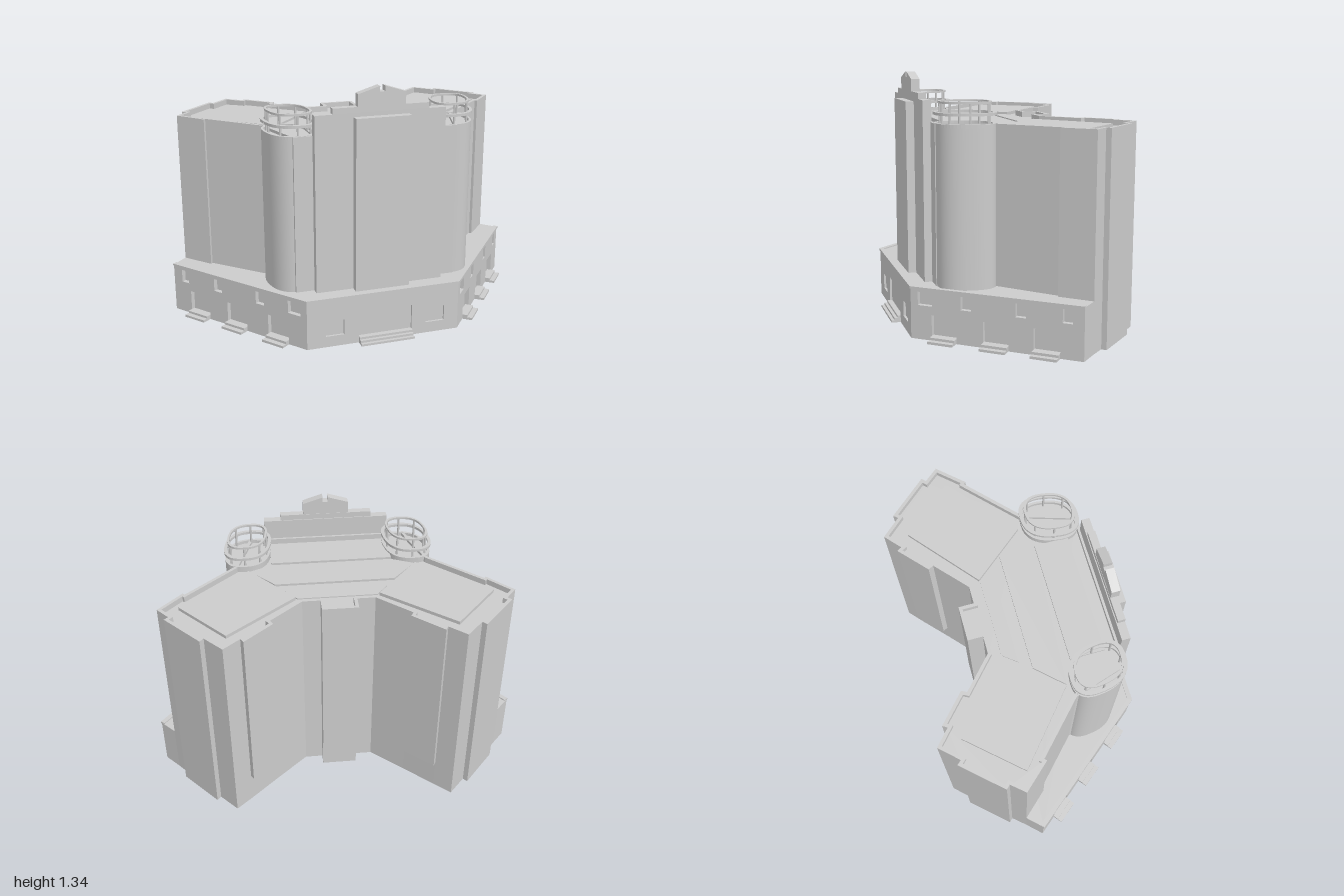
import * as THREE from 'three';

const mat = new THREE.MeshStandardMaterial({ color: 0xcccccc, side: THREE.DoubleSide });

function add(parent, name, geo, x = 0, y = 0, z = 0) {
  const m = new THREE.Mesh(geo, mat);
  m.name = name;
  m.position.set(x, y, z);
  parent.add(m);
  return m;
}
const box = (parent, name, x0, x1, y0, y1, z0, z1) =>
  add(parent, name, new THREE.BoxGeometry(x1 - x0, y1 - y0, z1 - z0), (x0 + x1) / 2, (y0 + y1) / 2, (z0 + z1) / 2);

// plan points are [x, z]; a prism rises from y0 to y1
const v2 = (pts) => pts.map(([x, z]) => new THREE.Vector2(x, -z));
function prism(parent, name, pts, y0, y1, hole) {
  const s = new THREE.Shape(v2(pts));
  if (hole) s.holes.push(new THREE.Path(v2(hole)));
  const g = new THREE.ExtrudeGeometry(s, { depth: y1 - y0, bevelEnabled: false });
  return add(parent, name, g.rotateX(-Math.PI / 2), 0, y0, 0);
}
const flip = (pts) => pts.map(([x, z]) => [-x, z]).reverse();
const both = (pts) => [...pts, ...flip(pts)];

// mitred offset of a path; positive d moves inwards for outlines starting at the front and running over +x
function inset(pts, d, closed = true) {
  const n = pts.length;
  const normal = (a, b) => {
    const l = Math.hypot(b[0] - a[0], b[1] - a[1]);
    return [(b[1] - a[1]) / l, -(b[0] - a[0]) / l];
  };
  return pts.map((p, i) => {
    const prev = closed || i > 0 ? pts[(i + n - 1) % n] : null;
    const next = closed || i < n - 1 ? pts[(i + 1) % n] : null;
    const a = prev ? normal(prev, p) : normal(p, next);
    const b = next ? normal(p, next) : a;
    const k = d / (1 + a[0] * b[0] + a[1] * b[1]);
    return [p[0] + (a[0] + b[0]) * k, p[1] + (a[1] + b[1]) * k];
  });
}

// wall with rectangular recesses [x0, x1, y0, y1]; local +z faces outwards
function wall(parent, name, len, height, holes, depth) {
  const rect = (T, x0, x1, y0, y1) => new T([[x0, y0], [x1, y0], [x1, y1], [x0, y1]].map((p) => new THREE.Vector2(...p)));
  const s = rect(THREE.Shape, 0, len, 0, height);
  for (const h of holes) {
    s.holes.push(rect(THREE.Path, ...h));
    box(parent, name + 'Recess', ...h, -depth - 0.004, -depth);
  }
  add(parent, name, new THREE.ExtrudeGeometry(s, { depth, bevelEnabled: false }), 0, 0, -depth);
}

function steps(parent, x0, x1, count, height, reach) {
  for (let i = 0; i < count; i++)
    box(parent, 'entranceStep', x0, x1, height * i / count, height * (i + 1) / count, -0.02, reach * (count - i) / count);
}

// rounded, slightly skewed plan of the corner turrets
function turretPlan(scale, n = 48) {
  const e = 0.8, pts = [];
  for (let i = 0; i < n; i++) {
    const t = i / n * Math.PI * 2, c = Math.cos(t), s = Math.sin(t);
    const z = Math.sign(s) * Math.abs(s) ** e * 0.148;
    pts.push([scale * (Math.sign(c) * Math.abs(c) ** e * 0.122 - z * 0.16), scale * z]);
  }
  return pts;
}

export function createModel() {
  const model = new THREE.Group();
  model.name = 'building';

  // half plans of the V-shaped tower
  const front = [[0.44, 0.42], [0.53, 0.13], [0.79, -0.115], [0.80, -0.103]];
  const wingEnd = [[0.925, -0.24], [0.865, -0.31], [0.885, -0.33], [0.705, -0.53], [0.685, -0.508], [0.595, -0.605]];
  const bump = [[0.495, -0.555], [0.345, -0.42]];
  const inner = (withBump) => [[0.51, -0.53], ...(withBump ? bump : []), [0.36, -0.392], [0.19, -0.24], [0.095, -0.24]];
  const tower = both([...front, ...wingEnd, ...inner(true), [0.095, -0.322]]);

  // tower, parapet
  prism(model, 'tower', tower, 0.262, 1.07);
  prism(model, 'parapet', tower, 1.07, 1.1, inset(tower, 0.018));

  // rear ground-floor walls, recessed at the service entrances
  const strip = (name, half, y0, y1) => {
    const path = both([[1, -0.16], ...wingEnd, ...half]);
    prism(model, name, [...path, ...inset(path, 0.018, false).reverse()], y0, y1);
  };
  strip('rearWallUpper', [...inner(true), [0.095, -0.322]], 0.17, 0.265);
  strip('rearWallLower', [...inner(false), [0.095, -0.3]], 0, 0.17);

  // podium roof and cornice
  const podium = both([[0.42, 0.55], [1, -0.16], [0.925, -0.24], [0.19, -0.1]]);
  prism(model, 'podiumRoof', podium, 0.262, 0.27);
  const edge = both([[0.42, 0.55], [1, -0.16]]);
  const rim = [...edge.slice(2), ...edge.slice(0, 2)];
  prism(model, 'podiumCornice', [...inset(rim, -0.006, false), ...inset(rim, 0.02, false).reverse()], 0.264, 0.276);

  // podium front
  const facade = new THREE.Group();
  facade.name = 'podiumFront';
  facade.position.set(-0.42, 0, 0.55);
  model.add(facade);
  wall(facade, 'podiumFrontWall', 0.84, 0.265,
    [[0.10, 0.20, 0.06, 0.145], [0.655, 0.76, 0.06, 0.145], [0.28, 0.575, 0.025, 0.172]], 0.012);
  steps(facade, 0.28, 0.575, 3, 0.036, 0.05);

  // podium sides with doors, steps and high windows
  for (const side of [1, -1]) {
    const mirror = new THREE.Group();
    mirror.name = side > 0 ? 'leftPodiumSide' : 'rightPodiumSide';
    mirror.scale.x = side;
    const g = new THREE.Group();
    g.position.set(0.42, 0, 0.55);
    g.rotation.y = Math.atan2(0.71, 0.58);
    mirror.add(g);
    model.add(mirror);
    const doors = [0.185, 0.465, 0.73];
    const windows = [[0.08, 0.08], [0.305, 0.055], [0.595, 0.055], [0.833, 0.05]];
    wall(g, 'podiumSideWall', 0.917, 0.265, [
      ...doors.map((c) => [c - 0.068, c + 0.068, 0.015, 0.135]),
      ...windows.map(([c, w]) => [c - w / 2, c + w / 2, 0.18, 0.25]),
    ], 0.025);
    for (const c of doors) steps(g, c - 0.068, c + 0.068, 2, 0.026, 0.055);
  }

  // stepped gable front
  const gable = new THREE.Group();
  gable.name = 'gableFront';
  gable.position.x = 0.006;
  model.add(gable);
  box(gable, 'facadePanel', -0.348, 0.348, 0.265, 1.21, 0.415, 0.46);
  box(gable, 'centrePanel', -0.147, 0.147, 0.265, 1.19, 0.455, 0.503);
  box(gable, 'gableStep', -0.255, 0.255, 1.21, 1.24, 0.42, 0.46);
  const crown = new THREE.Shape([[-0.126, 1.24], [0.126, 1.24], [0.126, 1.305], [0.016, 1.34], [0.016, 1.312],
    [-0.012, 1.312], [-0.012, 1.34], [-0.126, 1.305]].map((p) => new THREE.Vector2(...p)));
  add(gable, 'gableCrown', new THREE.ExtrudeGeometry(crown, { depth: 0.046, bevelEnabled: false }), 0, 0, 0.422);

  // corner turrets with ring railings
  for (const side of [1, -1]) {
    const t = new THREE.Group();
    t.name = side > 0 ? 'leftTurret' : 'rightTurret';
    t.position.set(0.012 + side * 0.44, 0, 0.268);
    t.scale.x = side;
    model.add(t);
    const plan = turretPlan(1);
    const body = prism(t, 'turretBody', plan, 0.265, 1.085);
    body.geometry = smoothSides(body.geometry);
    prism(t, 'turretRim', plan, 1.085, 1.102, turretPlan(0.9));
    prism(t, 'lowerRail', turretPlan(1.03), 1.143, 1.157, turretPlan(0.9));
    prism(t, 'upperRail', turretPlan(0.87), 1.2, 1.211, turretPlan(0.78));
    const posts = turretPlan(0.84, 8);
    for (const [x, z] of posts) add(t, 'railPost', new THREE.CylinderGeometry(0.006, 0.006, 0.12, 8), x, 1.142, z);
    for (const [x, z] of posts) {
      const arm = box(t, 'railBracket', -0.004, 0.004, 1.144, 1.154, -0.014, 0.014);
      arm.position.set(x * 1.1, 1.149, z * 1.1);
      arm.rotation.y = Math.atan2(x, z);
    }
  }

  // raised roof plates
  const wingPlate = [[0.22, -0.18], [0.58, -0.48], [0.82, -0.21], [0.455, 0.10]];
  prism(model, 'leftWingRoofPlate', wingPlate, 1.065, 1.088);
  prism(model, 'rightWingRoofPlate', flip(wingPlate), 1.065, 1.088);
  prism(model, 'centreRoofPlate', both([[0.33, 0.155], [0.45, 0.10], [0.32, -0.04]]), 1.065, 1.082);
  prism(model, 'frontRoofPlate', both([[0.33, 0.34], [0.33, 0.155]]), 1.065, 1.094);
  prism(model, 'rearRoofPlate', both([[0.27, -0.10], [0.21, -0.175]]), 1.065, 1.076);
  return model;
}

// smooth normals around the side of a turret, flat caps
function smoothSides(geo) {
  const p = geo.attributes.position, n = geo.attributes.normal, sum = {};
  const key = (i) => p.getX(i).toFixed(4) + ',' + p.getZ(i).toFixed(4);
  const isSide = (i) => Math.abs(n.getY(i)) < 0.5;
  for (let i = 0; i < p.count; i++)
    if (isSide(i)) (sum[key(i)] ??= new THREE.Vector3()).add(new THREE.Vector3().fromBufferAttribute(n, i));
  for (let i = 0; i < p.count; i++)
    if (isSide(i)) {
      const v = sum[key(i)].clone().normalize();
      n.setXYZ(i, v.x, v.y, v.z);
    }
  return geo;
}
